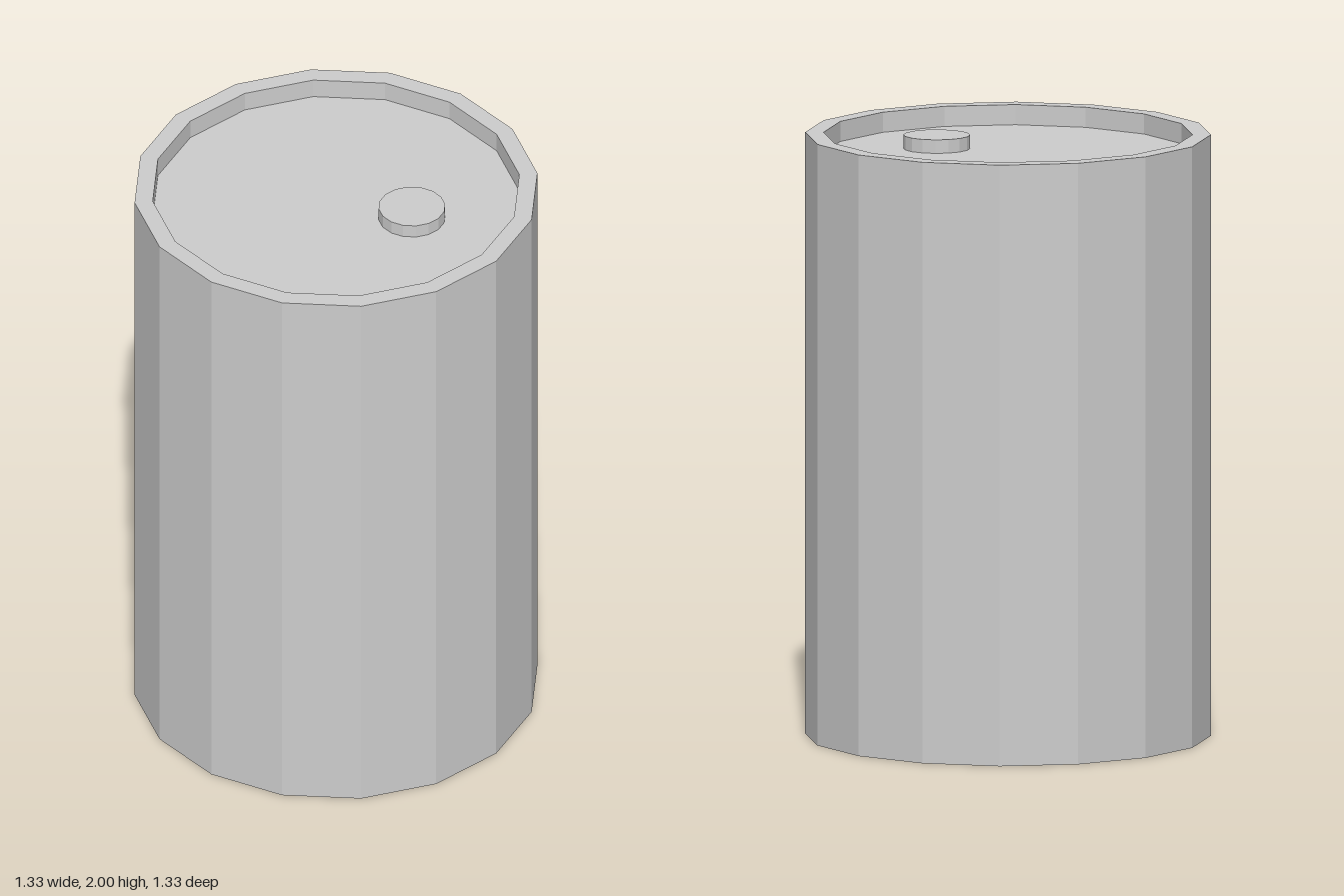
import * as THREE from 'three';

const SIDES = 16;
const TURN = 0.0165; // slight rotation of the facets
const FLOOR = 1.933; // height of the recessed lid

export function createModel() {
  const steel = new THREE.MeshStandardMaterial({ color: 0xcccccc, flatShading: true });
  steel.name = 'steel grey';

  const model = new THREE.Group();
  model.name = 'drum';
  const add = (name, geometry, x = 0, y = 0, z = 0) => {
    const mesh = new THREE.Mesh(geometry, steel);
    mesh.name = name;
    mesh.position.set(x, y, z);
    model.add(mesh);
  };

  // Base, outer wall, flat rim and inner wall in one profile
  const wall = [[0, 0], [0.667, 0], [0.667, 2], [0.607, 2], [0.607, FLOOR]]
    .map(([r, y]) => new THREE.Vector2(r, y));
  add('barrelBody', new THREE.LatheGeometry(wall, SIDES, TURN));

  // Recessed lid
  const lid = [[0.607, FLOOR], [0, FLOOR]].map(([r, y]) => new THREE.Vector2(r, y));
  add('lid', new THREE.LatheGeometry(lid, SIDES, TURN));

  // Off-centre filler cap
  const capHeight = 0.045;
  add('fillerCap', new THREE.CylinderGeometry(0.11, 0.11, capHeight, SIDES, 1, false, TURN),
    0.26, FLOOR + capHeight / 2, 0);

  return model;
}
